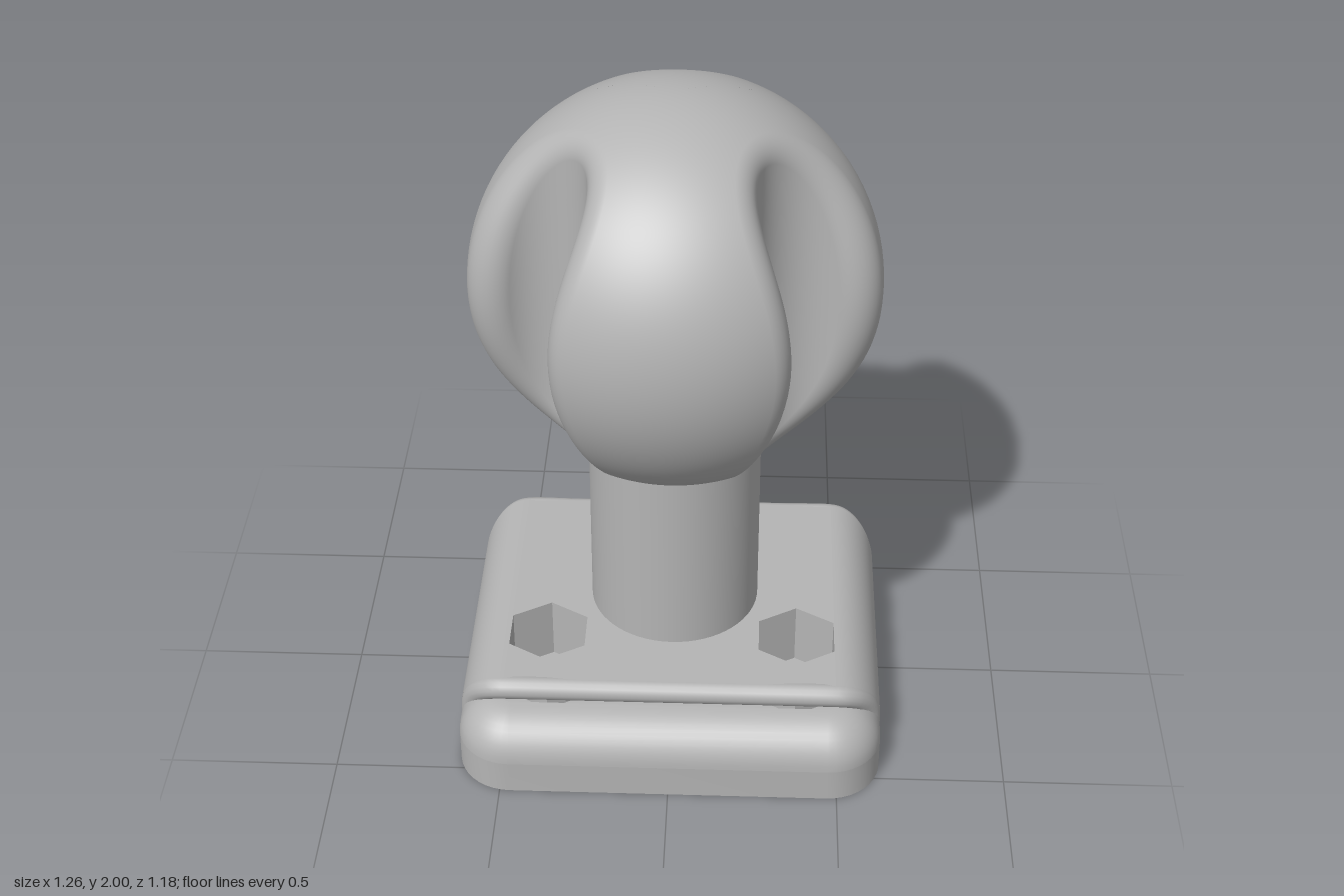
import * as THREE from 'three';
import { toCreasedNormals } from 'three/addons/utils/BufferGeometryUtils.js';

const gray = new THREE.MeshStandardMaterial({ color: 0xb4b4b4, side: THREE.DoubleSide });
gray.name = 'gray';

const HOLES = [[0, -0.435], [0.375, 0.215], [-0.375, 0.215]];
const HEX = 0.131, FLOOR = 0.105, LEDGE = 0.235, TOP = 0.305;
const { sin, cos, PI } = Math;

// Surface through rows of points; each point is [x, y, z] or [x, y, z, nx, ny, nz]
function gridGeometry(rows) {
  const pos = [], nor = [], idx = [], n = rows[0].length;
  rows.flat().forEach(p => { pos.push(...p.slice(0, 3)); nor.push(...p.slice(3)); });
  for (let i = 0; i < rows.length - 1; i++)
    for (let j = 0; j < n - 1; j++) {
      const a = i * n + j, b = a + n;
      idx.push(a, a + 1, b + 1, a, b + 1, b);
    }
  const g = new THREE.BufferGeometry();
  g.setAttribute('position', new THREE.Float32BufferAttribute(pos, 3));
  g.setIndex(idx);
  if (nor.length) g.setAttribute('normal', new THREE.Float32BufferAttribute(nor, 3));
  else g.computeVertexNormals();
  return g;
}

const steps = (n, f) => Array.from({ length: n + 1 }, (_, i) => f(i / n));
const lerp = THREE.MathUtils.lerp;

// ---- Ball: sphere with three vertical grooves and rolled lips ----
const BALL = new THREE.Vector3(0, 1.41, -0.04), R = 0.59, GR = 0.15, F = 0.08;

function ballSector(group, [hx, hz], lo, hi) {
  const gx = hx - BALL.x, gz = hz - BALL.z, d = Math.hypot(gx, gz);
  let g = Math.atan2(gx, gz);
  if (g < lo) g += 2 * PI;
  const end = Math.acos((d - GR - F) / (R - F));
  const onSphere = (az, phi) => {
    const n = [cos(phi) * sin(az), sin(phi), cos(phi) * cos(az)];
    return [...n.map(v => v * R), ...n];
  };
  // Local (radial, up, tangential) at the groove to model axes
  const turn = (r, y, t) => [r * sin(g) + t * cos(g), y, r * cos(g) - t * sin(g)];

  const grooveRow = phi => {
    const rho = (R - F) * cos(phi), h = (R - F) * sin(phi);
    const c = (rho * rho + d * d - (GR + F) ** 2) / (2 * rho * d);
    const delta = Math.acos(Math.min(1, c));
    const beta = Math.atan2(rho * sin(delta), d - rho * cos(delta));
    const lip = (s, k) => {
      const C = [rho * cos(delta), h, s * rho * sin(delta)];
      const nS = new THREE.Vector3(...C).normalize();
      const nC = new THREE.Vector3(cos(beta), 0, -s * sin(beta));
      const w = nS.angleTo(nC);
      const n = nS.multiplyScalar(sin((1 - k) * w)).addScaledVector(nC, sin(k * w)).divideScalar(sin(w));
      return [...turn(C[0] + F * n.x, C[1] + F * n.y, C[2] + F * n.z), ...turn(n.x, n.y, n.z)];
    };
    return [
      ...steps(20, t => onSphere(lerp(lo, g - delta, t), phi)),
      ...steps(10, t => lip(-1, t)),
      ...steps(20, t => {
        const b = lerp(-beta, beta, t);
        return [...turn(d - GR * cos(b), h, GR * sin(b)), ...turn(cos(b), 0, -sin(b))];
      }),
      ...steps(10, t => lip(1, 1 - t)),
      ...steps(20, t => onSphere(lerp(g + delta, hi, t), phi)),
    ];
  };
  const capRow = phi => steps(40, t => onSphere(t < 0.5 ? lerp(lo, g, t * 2) : lerp(g, hi, t * 2 - 1), phi));
  add(group, gridGeometry(steps(64, t => grooveRow(end * sin((t - 0.5) * PI)))), 'ballGroove');
  add(group, gridGeometry(steps(10, t => capRow(lerp(end, PI / 2, t)))), 'ballCrown');
  add(group, gridGeometry(steps(10, t => capRow(lerp(-PI / 2, -end, t)))), 'ballUnderside');
}

function add(group, geometry, name) {
  const m = new THREE.Mesh(geometry, gray);
  m.name = name;
  group.add(m);
  return m;
}

// ---- Base helpers ----
// Height of the rounded back edge of the lower slab
const slabHeight = z => {
  const t = Math.max(0, -z - 0.46);
  return FLOOR + Math.sqrt(Math.max(0, 0.13 ** 2 - t * t));
};
const hexPoints = ([x, z]) => steps(6, t => [x + HEX * sin(t * 2 * PI), z + HEX * cos(t * 2 * PI)]);
// Plan points become shape points with y = -z, then lie flat
const planShape = pts => new THREE.Shape(pts.map(([x, z]) => new THREE.Vector2(x, -z)));
const circleHole = (x, z, r) => new THREE.Path().absarc(x, -z, r, 0, 2 * PI, true);

// Slab outline with outward normals, open across the back pocket
const slabOutline = () => [
  [0.2, -0.59, 0, -1],
  ...[[1, -1], [1, 1], [-1, 1], [-1, -1]].flatMap(([sx, sz], k) => steps(10, t => {
    const a = (k - 1 + t) * PI / 2;
    return [0.47 * sx + 0.16 * cos(a), 0.43 * sz + 0.16 * sin(a), cos(a), sin(a)];
  })),
  [-0.2, -0.59, 0, -1],
];
const deckEnd = a => 0.435 - 0.065 * sin(a) ** 2;

function buildBase() {
  const base = new THREE.Group();
  base.name = 'base';
  const outline = slabOutline();

  // Bottom slab with screw holes and central bore
  const bottom = planShape(outline.map(p => p.slice(0, 2)));
  HOLES.forEach(([x, z]) => bottom.holes.push(circleHole(x, z, 0.0625)));
  bottom.holes.push(circleHole(0, -0.08, 0.115));
  const slab = new THREE.ExtrudeGeometry(bottom, { depth: FLOOR, bevelEnabled: false, curveSegments: 32 });
  add(base, toCreasedNormals(slab.rotateX(-PI / 2), 0.5), 'bottomSlab');
  const bore = new THREE.CylinderGeometry(0.115, 0.115, 0.6, 32, 1, true).translate(0, FLOOR + 0.3, -0.08);
  add(base, bore, 'boreWall');
  add(base, new THREE.CircleGeometry(0.115, 32).rotateX(PI / 2).translate(0, FLOOR + 0.6, -0.08), 'boreEnd');

  // Rolled upper edge of the slab
  add(base, gridGeometry(steps(10, t => outline.map(([x, z, nx, nz]) => {
    const inset = 0.13 * (1 - cos(t * PI / 2));
    return [x - nx * inset, FLOOR + 0.13 * sin(t * PI / 2), z - nz * inset];
  }).reverse())), 'slabRoll');

  // Back roll on both sides of the back pocket
  const hexHalf = z => Math.min(HEX * cos(PI / 6), Math.max(0, (z + 0.435 + HEX) * Math.sqrt(3)));
  const zs = [-0.36, -0.41, -0.46, ...steps(16, t => -0.46 - 0.13 * sin(t * PI / 2)).slice(1)];
  for (const s of [1, -1]) {
    const rows = zs.map(z => [[s * hexHalf(z), slabHeight(z), z], [s * 0.2, slabHeight(z), z]]);
    add(base, gridGeometry(s > 0 ? rows.reverse().map(r => r.reverse()) : rows.reverse()), 'backRoll');
  }

  // Hexagonal pocket walls
  HOLES.forEach((h, k) => {
    const pts = hexPoints(h);
    for (let i = 0; i < 6; i++) {
      const edge = steps(8, t => [lerp(pts[i][0], pts[i + 1][0], t), lerp(pts[i][1], pts[i + 1][1], t)]);
      const top = z => (k === 0 && z < -0.372 ? slabHeight(z) : TOP);
      add(base, gridGeometry([edge.map(([x, z]) => [x, top(z), z]), edge.map(([x, z]) => [x, FLOOR, z])]), 'pocketWall');
    }
  });

  // Raised deck: flat top with pockets and a notch at the back
  const w = HEX * cos(PI / 6);
  const deck = planShape([[0.49, -0.435], [0.49, 0.435], [-0.49, 0.435], [-0.49, -0.435], [-0.15, -0.435],
    [-0.15, -0.38], [-w, -0.37], [0, -0.304], [w, -0.37], [0.15, -0.38], [0.15, -0.435]]);
  HOLES.slice(1).forEach(h => deck.holes.push(new THREE.Path(
    hexPoints(h).slice(0, 6).map(([x, z]) => new THREE.Vector2(x, -z)))));
  add(base, new THREE.ShapeGeometry(deck).rotateX(-PI / 2).translate(0, TOP, 0), 'deckTop');

  // Rounded deck sides
  for (const s of [1, -1]) {
    const rows = steps(14, t => {
      const a = t * PI / 2, x = s * (0.49 + 0.14 * sin(a)), y = 0.135 + 0.17 * cos(a);
      return [[x, y, s * deckEnd(a)], [x, y, -s * deckEnd(a)]];
    });
    rows.push([[s * 0.63, 0.1, s * 0.37], [s * 0.63, 0.1, -s * 0.37]]);
    add(base, gridGeometry(rows.reverse()), 'deckSide');
  }

  // Beads along the front and back ends of the deck
  const bend = (sx, sz) => [
    ...steps(6, t => {
      const a = t * PI / 2;
      return [sx * (0.49 + 0.105 * sin(a)), 0.135 + 0.135 * cos(a), sz * deckEnd(a)];
    }),
    [sx * 0.595, 0.06, sz * 0.37],
  ];
  const bead = pts => {
    const path = new THREE.CatmullRomCurve3(pts.map(p => new THREE.Vector3(...p)));
    add(base, new THREE.TubeGeometry(path, 90, 0.035, 16), 'deckBead');
  };
  bead([...bend(-1, 1).reverse(), [-0.2, 0.27, 0.435], [0.2, 0.27, 0.435], ...bend(1, 1)]);
  for (const s of [1, -1])
    bead([[s * 0.15, 0.268, -0.35], [s * 0.15, 0.27, -0.41], [s * 0.158, 0.27, -0.428],
      [s * 0.18, 0.27, -0.435], [s * 0.33, 0.27, -0.435], ...bend(s, -1)]);
  return base;
}

export function createModel() {
  const model = new THREE.Group();
  model.name = 'ballMount';
  model.add(buildBase());

  // Post
  add(model, new THREE.CylinderGeometry(0.255, 0.255, 0.7, 64, 1, true).translate(0, 0.6, 0), 'post');

  // Ball, one sector around each groove
  const ball = new THREE.Group();
  ball.name = 'ball';
  ball.position.copy(BALL);
  const split = 2.06;
  ballSector(ball, HOLES[1], 0, split);
  ballSector(ball, HOLES[0], split, 2 * PI - split);
  ballSector(ball, HOLES[2], 2 * PI - split, 2 * PI);
  model.add(ball);
  return model;
}
